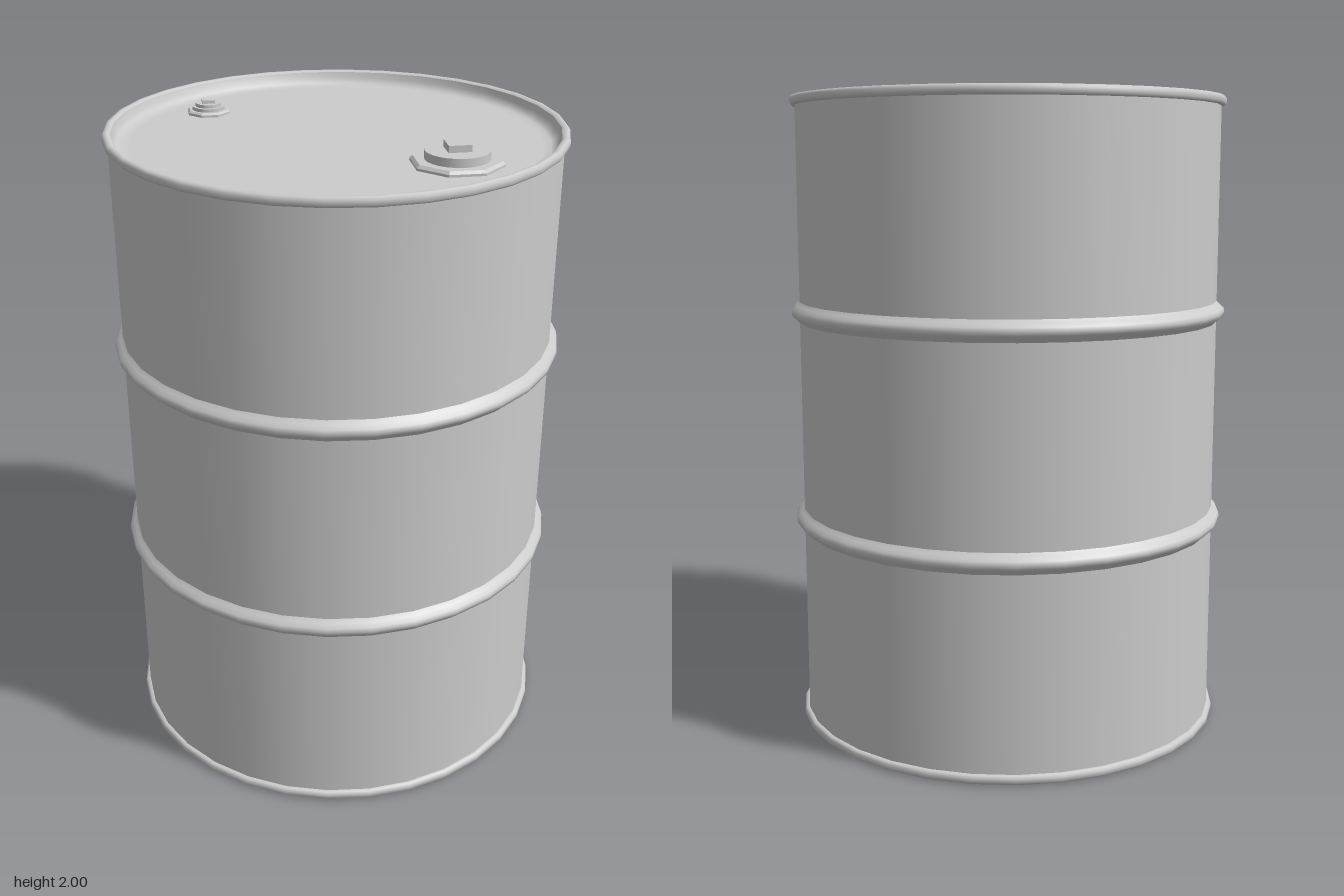
import * as THREE from 'three';

const SIDES = 32;
const smooth = new THREE.MeshStandardMaterial({ color: 0xcccccc });
const flat = new THREE.MeshStandardMaterial({ color: 0xcccccc, flatShading: true });

// Revolved strip; profile runs from bottom to top, outside facing out
function lathe(name, profile) {
  const points = profile.map(([r, y]) => new THREE.Vector2(r, y));
  const mesh = new THREE.Mesh(new THREE.LatheGeometry(points, SIDES), smooth);
  mesh.name = name;
  return mesh;
}

// Upright prism between two heights
function prism(name, rTop, rBottom, y0, y1, sides, turn = 0) {
  const geometry = new THREE.CylinderGeometry(rTop, rBottom, y1 - y0, sides);
  geometry.rotateY(turn).translate(0, (y0 + y1) / 2, 0);
  const mesh = new THREE.Mesh(geometry, sides > 8 ? smooth : flat);
  mesh.name = name;
  return mesh;
}

// Octagonal flange with a bevelled upper edge
function flange(apothem, bevel, y0, y1) {
  const k = 1 / Math.cos(Math.PI / 8);
  const mid = y1 - bevel;
  return [
    prism('flangeBase', apothem * k, apothem * k, y0, mid, 8, Math.PI / 8),
    prism('flangeBevel', (apothem - bevel) * k, apothem * k, mid, y1, 8, Math.PI / 8),
  ];
}

export function createModel() {
  const drum = new THREE.Group();
  drum.name = 'drum';
  const R = 0.665;

  // Plain wall sections between the hoops and rims
  [[0.03, 0.63], [0.695, 1.29], [1.355, 1.955]].forEach(([a, b], i) => {
    drum.add(lathe(`wall${i + 1}`, [[R, a], [R, b]]));
  });

  // Rolling hoops
  [0.6625, 1.3225].forEach((y, i) => {
    drum.add(lathe(`hoop${i + 1}`, [
      [R, y - 0.0325], [0.674, y - 0.022], [0.687, y - 0.012], [0.69, y],
      [0.687, y + 0.012], [0.674, y + 0.022], [R, y + 0.0325],
    ]));
  });

  // Base and bottom rim
  drum.add(lathe('base', [[0, 0], [0.655, 0]]));
  drum.add(lathe('bottomRim', [
    [0.655, 0], [0.672, 0.002], [0.68, 0.009], [0.68, 0.022], [0.674, 0.029], [R, 0.03],
  ]));

  // Top rim, rolled over to the inside
  drum.add(lathe('topRim', [
    [R, 1.955], [0.674, 1.956], [0.68, 1.963], [0.68, 1.976],
    [0.674, 1.984], [0.664, 1.985], [0.656, 1.98],
  ]));
  // Recessed lid with a soft curve up to the rim
  drum.add(lathe('lid', [
    [0.656, 1.98], [0.651, 1.962], [0.643, 1.948], [0.628, 1.941], [0.605, 1.94], [0, 1.94],
  ]));

  // Large bung at the front
  const largeBung = new THREE.Group();
  largeBung.name = 'largeBung';
  largeBung.add(
    ...flange(0.125, 0.008, 1.938, 1.955),
    prism('plug', 0.093, 0.093, 1.955, 1.98, 24),
    prism('squareKey', 0.047, 0.047, 1.98, 2, 4),
  );
  largeBung.position.z = 0.415;

  // Small bung at the back
  const smallBung = new THREE.Group();
  smallBung.name = 'smallBung';
  smallBung.add(
    ...flange(0.063, 0.005, 1.938, 1.952),
    prism('collar', 0.05, 0.05, 1.952, 1.962, 24),
    prism('plug', 0.04, 0.04, 1.962, 1.972, 24),
    prism('squareKey', 0.028, 0.028, 1.972, 1.982, 4),
  );
  smallBung.position.z = -0.495;

  drum.add(largeBung, smallBung);
  return drum;
}
